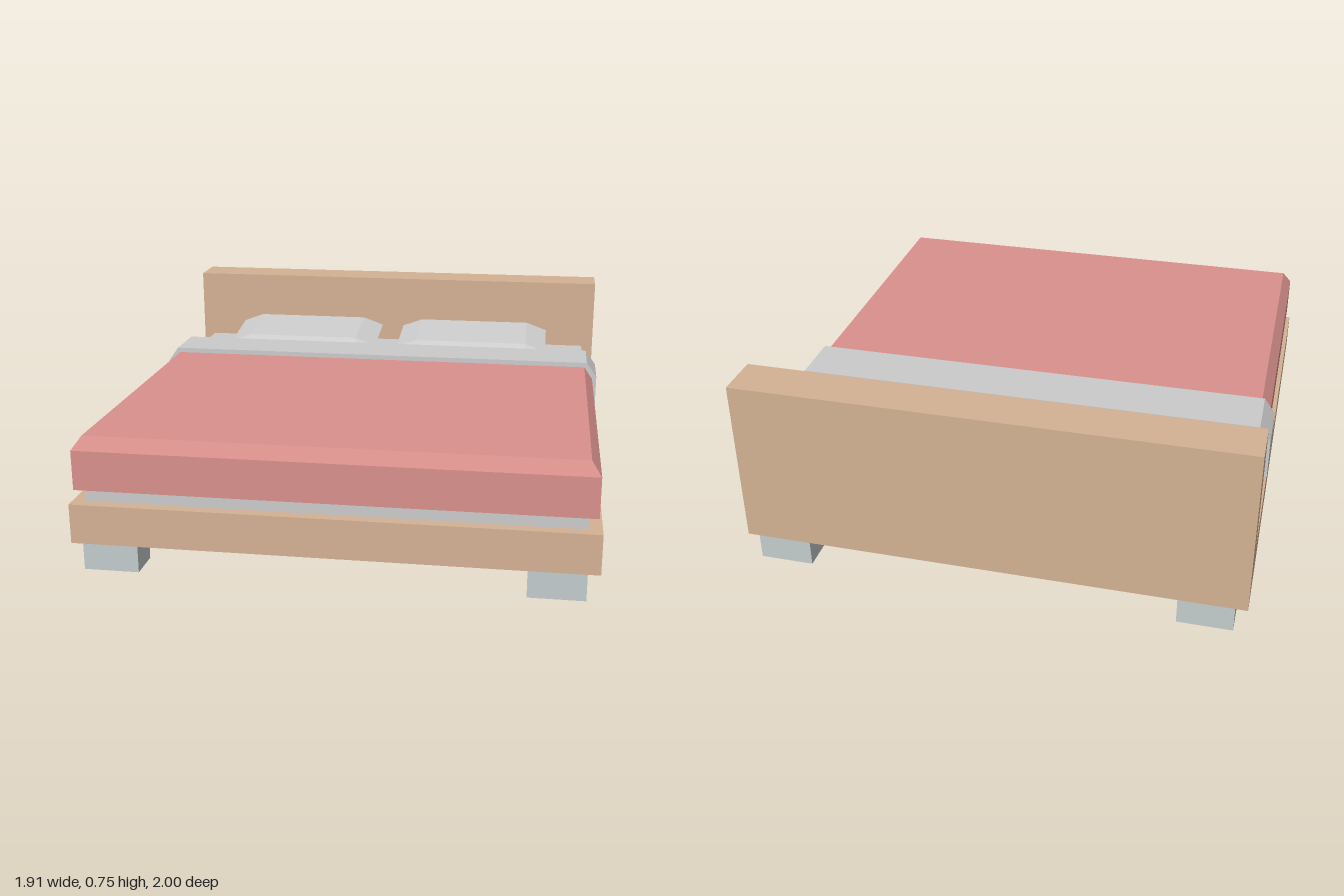
import * as THREE from 'three';
import { ConvexGeometry } from 'three/addons/geometries/ConvexGeometry.js';

const material = (color) => new THREE.MeshStandardMaterial({ color, flatShading: true });

export function createModel() {
  const bed = new THREE.Group();
  bed.name = 'bed';
  const wood = material(0xd4b294);
  const cloth = material(0xcccccc);
  const pink = material(0xd9918d);
  const legPaint = material(0xc4cccd);

  const add = (name, geometry, mat) => {
    const mesh = new THREE.Mesh(geometry, mat);
    mesh.name = name;
    bed.add(mesh);
    return mesh;
  };

  // box given by its limits on each axis
  const addBox = (name, mat, [x0, x1], [y0, y1], [z0, z1]) => {
    const mesh = add(name, new THREE.BoxGeometry(x1 - x0, y1 - y0, z1 - z0), mat);
    mesh.position.set((x0 + x1) / 2, (y0 + y1) / 2, (z0 + z1) / 2);
  };

  // solid through stacked rectangles: [half width, y, back z, front z]
  const stack = (layers) => new ConvexGeometry(layers.flatMap(([w, y, z0, z1]) =>
    [-w, w].flatMap((x) => [z0, z1].map((z) => new THREE.Vector3(x, y, z)))));

  // wooden frame
  addBox('bedBase', wood, [-0.95, 0.95], [0.1, 0.25], [-0.825, 1]);
  addBox('headboard', wood, [-0.95, 0.95], [0.1, 0.75], [-1, -0.825]);

  // legs
  for (const [side, x] of [['left', [0.7, 0.905]], ['right', [-0.905, -0.7]]]) {
    addBox(side + 'FrontLeg', legPaint, x, [0, 0.1], [0.87, 1]);
    addBox(side + 'BackLeg', legPaint, x, [0, 0.1], [-1, -0.825]);
  }

  // bedding
  addBox('mattress', cloth, [-0.9, 0.9], [0.25, 0.45], [-0.825, 0.957]);
  add('blanket', stack([
    [0.935, 0.3, -0.26, 0.982],
    [0.935, 0.45, -0.26, 0.982],
    [0.9, 0.5, -0.26, 0.955],
  ]), pink);
  add('foldedSheet', stack([
    [0.953, 0.3, -0.457, -0.245],
    [0.953, 0.46, -0.457, -0.245],
    [0.91, 0.52, -0.457, -0.245],
  ]), cloth);

  // pillows: eight-sided middle, smaller rectangle above and below
  const pillow = stack([
    [0.25, -0.035, -0.132, 0.132],
    [0.34, 0, -0.134, 0.134],
    [0.25, 0, -0.178, 0.178],
    [0.25, 0.035, -0.132, 0.132],
  ]);
  for (const [name, x] of [['leftPillow', 0.39], ['rightPillow', -0.39]]) {
    const mesh = add(name, pillow, cloth);
    mesh.position.set(x, 0.512, -0.648);
    mesh.rotation.x = 0.145;
  }

  return bed;
}
